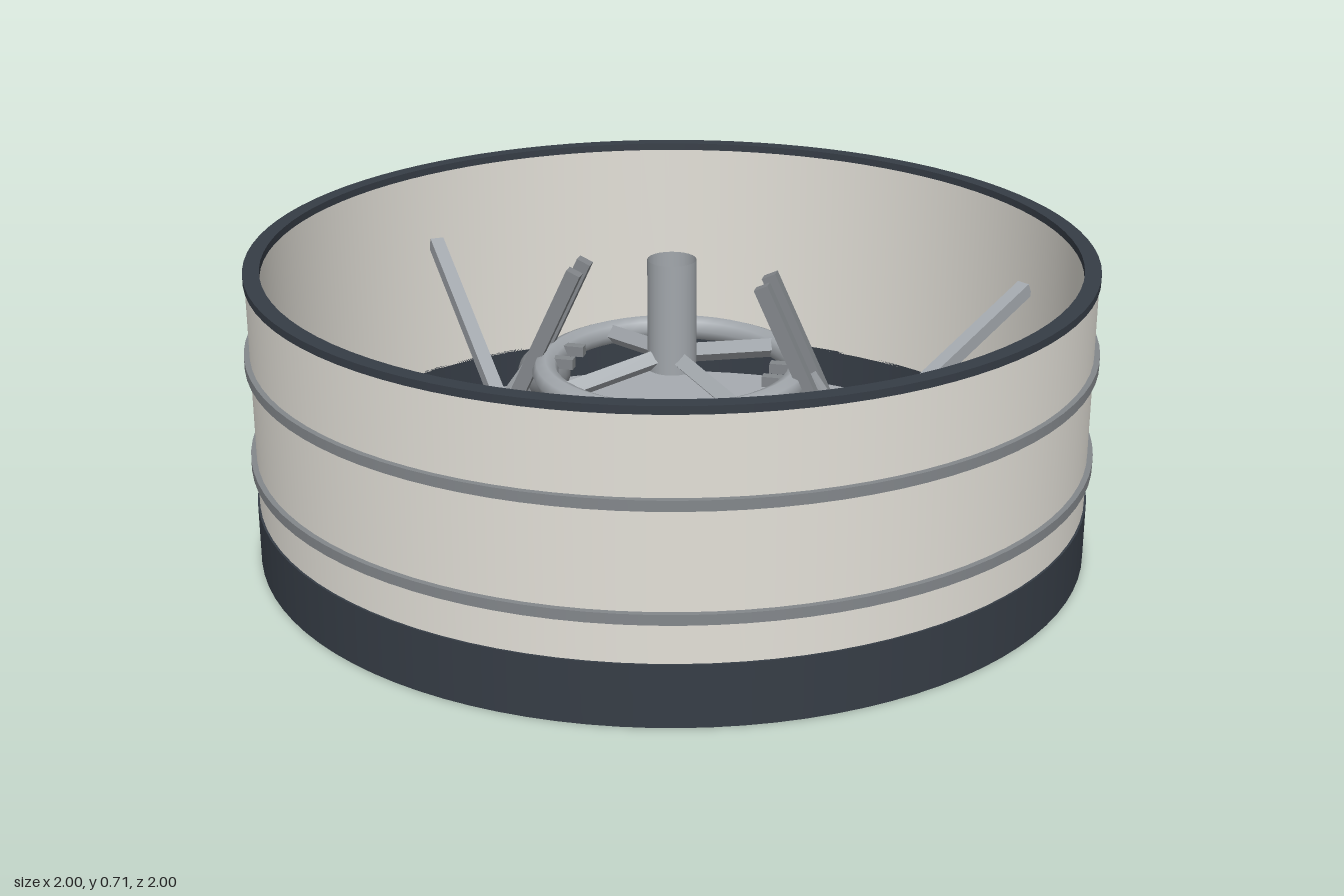
import * as THREE from 'three';

export function createModel() {
  const root = new THREE.Group();
  root.name = 'engineSection';

  const mat = (name, color, side = THREE.FrontSide) => {
    const m = new THREE.MeshStandardMaterial({ color, side });
    m.name = name;
    return m;
  };
  const cream = mat('cream', 0xe3e0d8, THREE.DoubleSide);
  const charcoal = mat('charcoal', 0x363d46);
  const floorGrey = mat('floorGrey', 0xa6abb0);
  const steel = mat('steel', 0xa2a7ac, THREE.DoubleSide);
  const darkSteel = mat('darkSteel', 0x83878b);
  const gold = mat('gold', 0xd6931e);

  const add = (name, geo, material, x = 0, y = 0, z = 0, parent = root) => {
    const m = new THREE.Mesh(geo, material);
    m.name = name;
    m.position.set(x, y, z);
    parent.add(m);
    return m;
  };

  // Closed rectangular hoop, each wall with its own crisp normals
  const hoop = (name, ri, ro, y0, y1, material, seg = 96) => {
    const g = new THREE.Group();
    g.name = name;
    const corners = [[ri, y0], [ro, y0], [ro, y1], [ri, y1], [ri, y0]];
    for (let i = 0; i < 4; i++) {
      const pts = [corners[i], corners[i + 1]].map(p => new THREE.Vector2(...p));
      add(name + 'Face', new THREE.LatheGeometry(pts, seg), material, 0, 0, 0, g);
    }
    root.add(g);
    return g;
  };

  // Straight member between two points
  const bar = (name, a, b, w, h, material, parent = root) => {
    const from = new THREE.Vector3(...a), to = new THREE.Vector3(...b);
    const m = add(name, new THREE.BoxGeometry(w, h, from.distanceTo(to)), material, 0, 0, 0, parent);
    m.position.copy(from).add(to).multiplyScalar(0.5);
    m.lookAt(to);
    return m;
  };

  // Outer shell
  hoop('hullWall', 0.957, 0.987, 0.14, 0.692, cream);
  hoop('baseSkirt', 0.957, 0.992, 0, 0.145, charcoal);
  hoop('topRim', 0.953, 0.991, 0.69, 0.708, charcoal);
  for (const y of [0.25, 0.5]) hoop('hullBand', 0.97, 1.0, y - 0.012, y + 0.012, darkSteel);

  // Floor with two nozzle openings
  const disc = new THREE.Shape().absarc(0, 0, 0.958, 0, Math.PI * 2, false);
  for (const x of [-0.42, 0.42]) {
    disc.holes.push(new THREE.Path().absarc(x, 0, 0.275, 0, Math.PI * 2, true));
  }
  const floorGeo = new THREE.ExtrudeGeometry(disc, { depth: 0.03, bevelEnabled: false, curveSegments: 64 });
  floorGeo.rotateX(-Math.PI / 2);
  add('floor', floorGeo, floorGrey, 0, 0.012, 0);

  // Engine bay, repeated by a half turn
  const bay = () => {
    const g = new THREE.Group();
    g.name = 'engineBay';
    const x = 0.42;
    const collar = [[0.18, 0.02], [0.295, 0.06]].map(p => new THREE.Vector2(...p));
    add('nozzleCollar', new THREE.LatheGeometry(collar, 20), cream, x, 0, 0, g);
    const lip = [[0.27, 0.03], [0.275, 0.004], [0.295, 0.004], [0.295, 0.03]].map(p => new THREE.Vector2(...p));
    add('nozzleLip', new THREE.LatheGeometry(lip, 20), steel, x, 0, 0, g);

    // Central plug and its mount
    add('plug', new THREE.CylinderGeometry(0.07, 0.07, 0.03, 16), charcoal, x, 0.025, 0, g);
    add('plugStem', new THREE.CylinderGeometry(0.035, 0.045, 0.14, 12), darkSteel, x, 0.1, 0, g);
    add('mountBlock', new THREE.BoxGeometry(0.07, 0.1, 0.11), gold, 0.435, 0.205, 0, g);

    // Beam and two rising struts to the wall
    bar('radialBeam', [0.41, 0.195, 0], [0.96, 0.195, 0], 0.1, 0.05, floorGrey, g);
    for (const s of [-1, 1]) {
      bar('wallStrut', [0.43, 0.22, 0.04 * s], [0.78, 0.5, 0.54 * s], 0.035, 0.035, steel, g);
      bar('linkArm', [0.41, 0.25, 0.045 * s], [0.225, 0.65, 0.045 * s], 0.03, 0.035, darkSteel, g);
      bar('linkTie', [0.33, 0.42, 0.045 * s], [0.23, 0.42, 0.045 * s], 0.025, 0.025, darkSteel, g);
    }
    bar('centreLink', [0.44, 0.26, 0], [0.33, 0.42, 0], 0.035, 0.035, steel, g);

    // Pressure sphere
    add('sphere', new THREE.SphereGeometry(0.065, 20, 14), darkSteel, 0.345, 0.34, 0.085, g);
    root.add(g);
    return g;
  };
  bay();
  bay().rotation.y = Math.PI;

  // Central support ring with cross spokes and open tube
  const ringGeo = new THREE.TorusGeometry(0.302, 0.031, 8, 48);
  ringGeo.rotateX(Math.PI / 2);
  add('supportRing', ringGeo, steel, 0, 0.41, 0);
  for (let i = 0; i < 4; i++) {
    const a = Math.PI / 4 + i * Math.PI / 2;
    const spoke = bar('ringSpoke', [0, 0.45, 0], [0.29 * Math.cos(a), 0.41, 0.29 * Math.sin(a)], 0.034, 0.034, steel);
    spoke.rotateZ(Math.PI / 4);
  }
  add('centreTube', new THREE.CylinderGeometry(0.058, 0.058, 0.27, 24, 1, true), steel, 0, 0.55, 0);

  return root;
}
